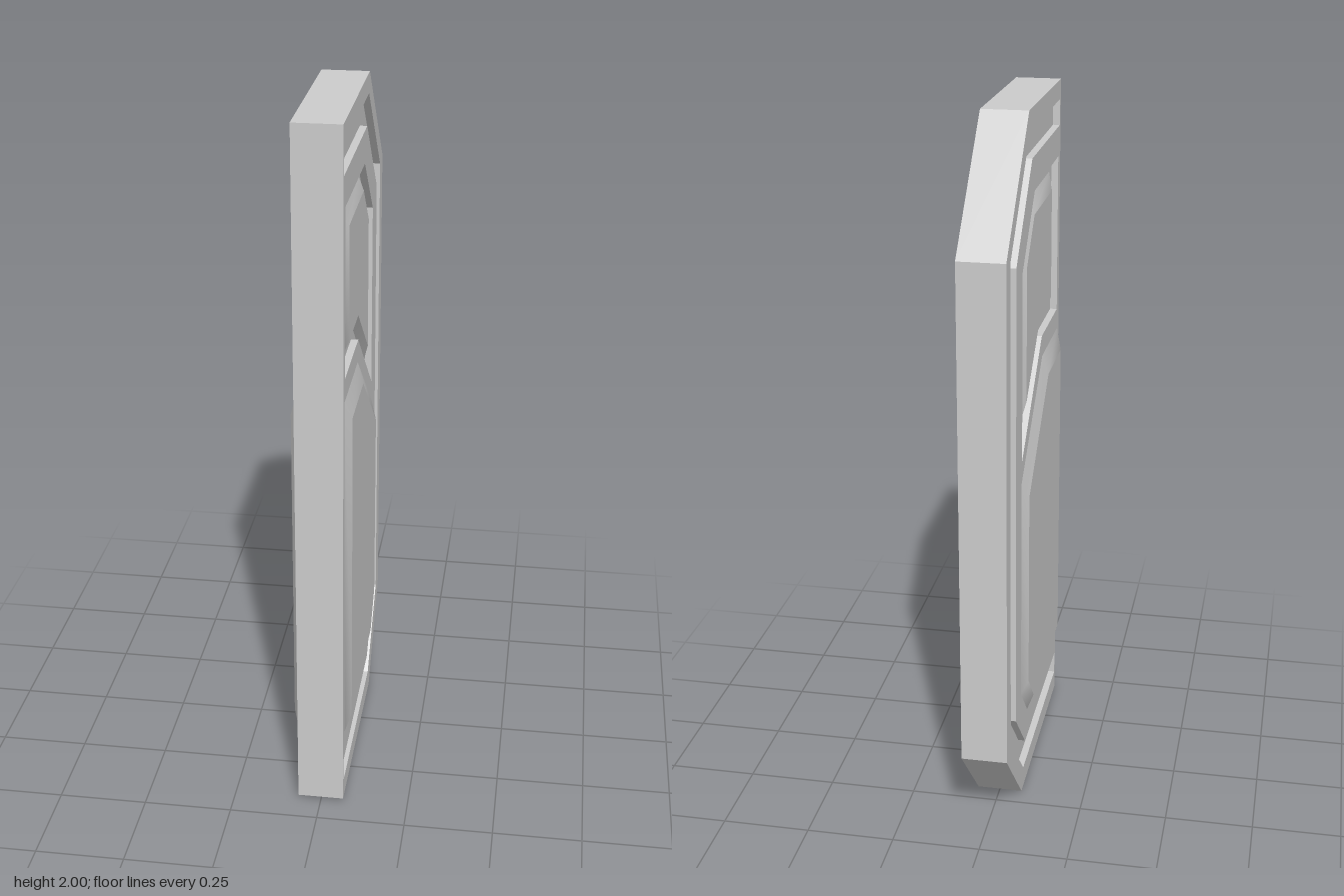
import * as THREE from 'three';
import { toCreasedNormals } from 'three/addons/utils/BufferGeometryUtils.js';

const HALF = 0.065;   // half thickness of the slab
const FLOOR = 0.045;  // distance of the recess floors from the middle plane
const RAISED = 0.082; // distance of the lower panel's face

// Profiles as [z, y]
const outline = [[0.42, 0.012], [0.42, 1.996], [-0.10, 2], [-0.42, 1.68], [-0.42, 0.24], [-0.19, 0]];
const groove = [
  [0.407, 1.94], [-0.085, 1.945], [-0.362, 1.67], [-0.362, 0.265], [-0.16, 0.063], [0.412, 0.07],
  [0.412, 0.14], [-0.135, 0.14], [-0.282, 0.293], [-0.282, 1.63], [-0.05, 1.865], [0.407, 1.866],
];
const recess = [[0.385, 1.78], [-0.005, 1.775], [-0.192, 1.592], [-0.192, 1.06], [0.12, 1.32], [0.385, 1.32]];
const upperBase = [[0.345, 1.743], [-0.012, 1.743], [-0.152, 1.603], [-0.152, 1.135], [0.105, 1.353], [0.345, 1.353]];
const upperFace = [[0.288, 1.702], [0.0, 1.702], [-0.115, 1.585], [-0.115, 1.205], [0.105, 1.385], [0.288, 1.385]];
const lowerBase = [[0.395, 1.258], [0.13, 1.258], [-0.2, 0.995], [-0.2, 0.335], [-0.1, 0.227], [0.395, 0.227]];
const lowerFace = [[0.363, 1.2], [0.14, 1.2], [-0.172, 0.945], [-0.172, 0.365], [-0.085, 0.27], [0.363, 0.27]];

const material = new THREE.MeshStandardMaterial({ color: 0xcccccc });

const toPoints = (profile, side) => profile.map(([z, y]) => new THREE.Vector2(-side * z, y));

function addMesh(parent, name, geometry) {
  const mesh = new THREE.Mesh(geometry, material);
  mesh.name = name;
  parent.add(mesh);
}

// Flat plate across the middle plane; the outline runs opposite to the openings
function plate(profile, half, holes = []) {
  const shape = new THREE.Shape(toPoints(profile, 1).reverse());
  shape.holes = holes.map((h) => new THREE.Path(toPoints(h, 1)));
  const geometry = new THREE.ExtrudeGeometry(shape, { depth: 2 * half, bevelEnabled: false });
  return geometry.translate(0, 0, -half).rotateY(Math.PI / 2);
}

// Panel with a flat face and sloping edges, lofted between two loops
function bevelPanel(name, base, face, from, to, side) {
  const panel = new THREE.Group();
  panel.name = name;
  const a = toPoints(base, side);
  const b = toPoints(face, side);
  if (THREE.ShapeUtils.isClockWise(a)) {
    a.reverse();
    b.reverse();
  }
  const n = a.length;
  const positions = [];
  a.forEach((p) => positions.push(p.x, p.y, from));
  b.forEach((p) => positions.push(p.x, p.y, to));
  const index = [];
  for (let i = 0; i < n; i++) {
    const j = (i + 1) % n;
    index.push(i, j, n + j, i, n + j, n + i);
  }
  const bevel = new THREE.BufferGeometry();
  bevel.setAttribute('position', new THREE.Float32BufferAttribute(positions, 3));
  bevel.setIndex(index);
  addMesh(panel, 'panelBevel', toCreasedNormals(bevel, 0.61));
  addMesh(panel, 'panelFace', new THREE.ShapeGeometry(new THREE.Shape(b)).translate(0, 0, to));
  panel.rotation.y = side * Math.PI / 2;
  return panel;
}

export function createModel() {
  const door = new THREE.Group();
  door.name = 'doorLeaf';

  // Slab, cut by the border groove and the upper recess
  addMesh(door, 'slab', plate(outline, HALF, [groove, recess]));

  // Inner core that forms the floor of the cuts, kept inside the slab's edges
  const core = outline.map(([z, y]) => [z * 0.99, 1 + (y - 1) * 0.98]);
  addMesh(door, 'recessFloor', plate(core, FLOOR));

  // Bevelled panels on both faces
  for (const [label, side] of [['left', 1], ['right', -1]]) {
    door.add(bevelPanel(label + 'UpperPanel', upperBase, upperFace, FLOOR, 0.063, side));
    door.add(bevelPanel(label + 'LowerPanel', lowerBase, lowerFace, HALF, RAISED, side));
  }
  return door;
}
